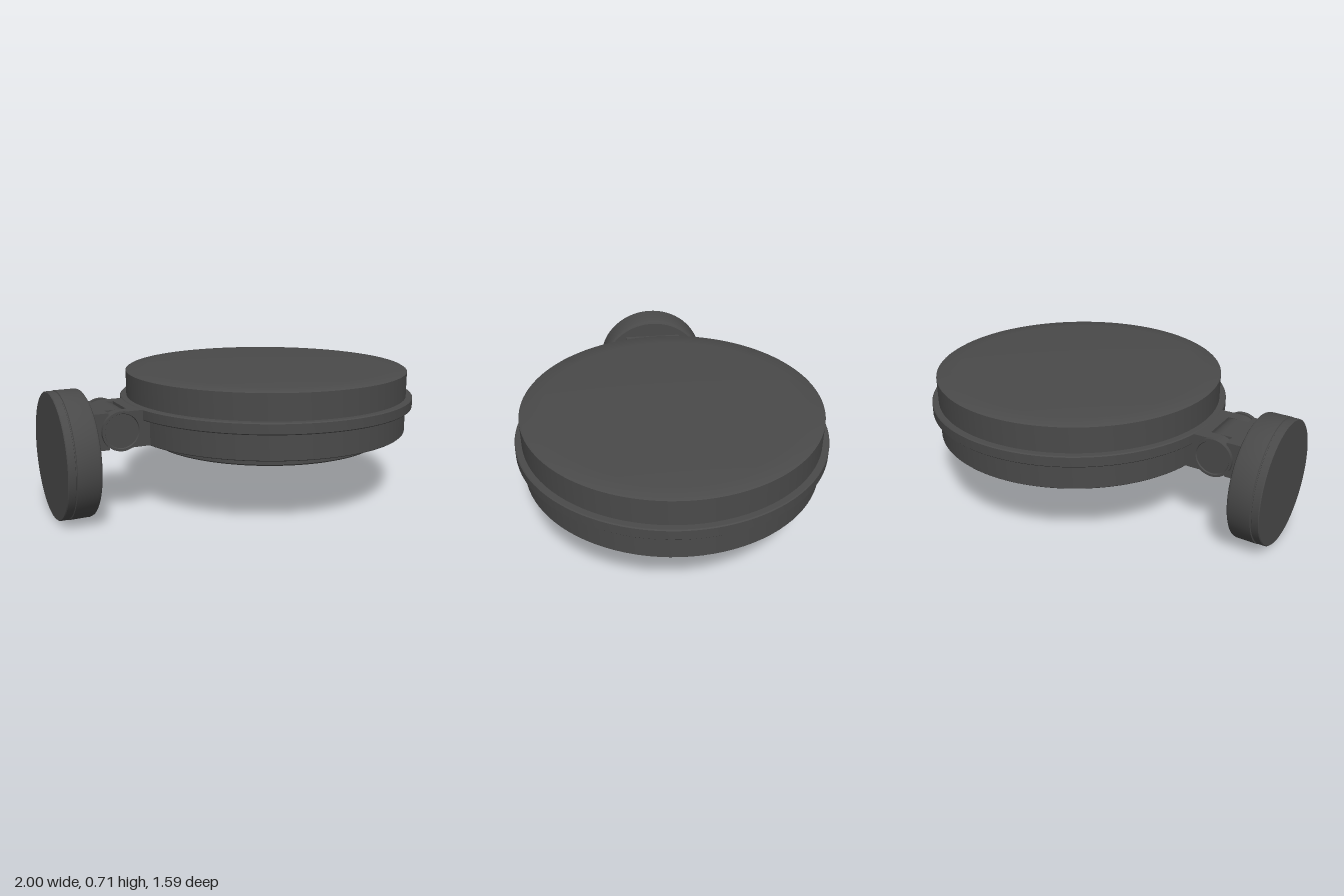
import * as THREE from 'three';
import { toCreasedNormals } from 'three/addons/utils/BufferGeometryUtils.js';

const dark = new THREE.MeshStandardMaterial({ color: 0x4a4a4a });
const silver = new THREE.MeshStandardMaterial({ color: 0xaaaaaa, side: THREE.DoubleSide });
const grey = new THREE.MeshStandardMaterial({ color: 0xcccccc });

const CX = 0.203;                             // axis of the round head
const OPEN_R = 0.59;                          // radius of the light opening
const CORNER = THREE.MathUtils.degToRad(50);  // where round reflector ends meet straight sides

function add(parent, name, geometry, material, x = 0, y = 0, z = 0) {
  const mesh = new THREE.Mesh(geometry, material);
  mesh.name = name;
  mesh.position.set(x, y, z);
  parent.add(mesh);
  return mesh;
}

function lathe(points, segments = 96) {
  const profile = points.map(([r, y]) => new THREE.Vector2(r, y));
  return toCreasedNormals(new THREE.LatheGeometry(profile, segments), 0.5);
}

// Cylinder lying along z
function pin(radius, length) {
  return new THREE.CylinderGeometry(radius, radius, length, 40).rotateX(Math.PI / 2);
}

// Bowl-shaped reflector standing on y = 0: round ends along x, straight sides along z
function reflectorGeometry() {
  const height = 0.32;
  const geometry = new THREE.ConeGeometry(OPEN_R, height, 72, 16, true);
  const p = geometry.attributes.position;
  for (let i = 0; i < p.count; i++) {
    const share = Math.max(0, 0.5 - p.getY(i) / height);
    const limit = OPEN_R * Math.sin(CORNER) * share;
    p.setY(i, height * (1 - share ** 2.4));
    p.setZ(i, THREE.MathUtils.clamp(p.getZ(i), -limit, limit));
  }
  return toCreasedNormals(geometry, 0.4);
}

// Flat lip filling the opening between its round edge and a straight reflector side
function lipGeometry() {
  const start = CORNER - 0.012;
  const shape = new THREE.Shape();
  shape.absarc(0, 0, OPEN_R + 0.003, start, Math.PI - start, false);
  shape.closePath();
  return new THREE.ShapeGeometry(shape, 32).rotateX(Math.PI / 2);
}

export function createModel() {
  const model = new THREE.Group();
  model.name = 'wallFloodlight';

  // Round head: lower bezel, shell, clamping rim and shallow dome
  const head = new THREE.Group();
  head.name = 'lampHead';
  head.position.x = CX;
  model.add(head);
  const dome = [];
  for (let i = 0; i <= 8; i++) {
    const r = 0.752 * (1 - i / 8);
    dome.push([r, 0.712 - 0.022 * (r / 0.752) ** 2]);
  }
  add(head, 'housing', lathe([
    [OPEN_R, 0.34], [OPEN_R, 0.308], [0.597, 0.301], [0.63, 0.301], [0.637, 0.308],
    [0.637, 0.361], [0.758, 0.361], [0.762, 0.365], [0.762, 0.684], ...dome,
  ]), dark);
  add(head, 'clampingRim', lathe([
    [0.755, 0.494], [0.791, 0.494], [0.796, 0.499], [0.796, 0.547], [0.791, 0.552], [0.755, 0.552],
  ]), dark);

  // Reflector and its lips
  add(head, 'reflector', reflectorGeometry(), silver, 0, 0.321, 0);
  for (const turn of [0, Math.PI]) {
    add(head, 'reflectorLip', lipGeometry(), silver, 0, 0.322, 0).rotation.y = turn;
  }

  // Lamp tube with its socket, entering from the hinge side
  const lamp = new THREE.Group();
  lamp.name = 'lamp';
  lamp.position.set(-0.01, 0.478, 0);
  lamp.rotation.z = Math.PI / 2;
  head.add(lamp);
  add(lamp, 'bulb', new THREE.CapsuleGeometry(0.05, 0.2, 8, 24), grey, 0, 0.15, 0);
  add(lamp, 'bulbCollar', lathe([
    [0, 0.25], [0.056, 0.25], [0.056, 0.29], [0.048, 0.295], [0.048, 0.31],
    [0.056, 0.315], [0.056, 0.36], [0, 0.36],
  ], 24), grey);
  add(lamp, 'socket', new THREE.CylinderGeometry(0.062, 0.062, 0.17, 24), silver, 0, 0.445, 0);

  // Round wall plate with a fine groove near its back edge
  const plate = lathe([
    [0, 0], [0.317, 0], [0.321, 0.004], [0.321, 0.036], [0.317, 0.038], [0.317, 0.042],
    [0.323, 0.044], [0.323, 0.148], [0.318, 0.16], [0.308, 0.166], [0, 0.166],
  ], 80).rotateZ(-Math.PI / 2);
  add(model, 'wallPlate', plate, dark, -1, 0.324, 0);

  // Hinge: a tongue from the plate held between two cheeks from the head
  const hinge = new THREE.Group();
  hinge.name = 'hinge';
  hinge.position.set(-0.69, 0.457, 0);
  model.add(hinge);
  add(hinge, 'plateBracket', new THREE.BoxGeometry(0.1, 0.184, 0.33), dark, -0.11, 0, 0);
  add(hinge, 'headBracket', new THREE.BoxGeometry(0.18, 0.184, 0.33), dark, 0.14, 0, 0);
  add(hinge, 'tongue', new THREE.BoxGeometry(0.08, 0.184, 0.2), dark, -0.04, 0, 0);
  add(hinge, 'tongueKnuckle', pin(0.092, 0.2), dark);
  for (const side of [-1, 1]) {
    add(hinge, 'cheek', new THREE.BoxGeometry(0.08, 0.184, 0.064), dark, 0.04, 0, side * 0.133);
    add(hinge, 'cheekKnuckle', pin(0.092, 0.064), dark, 0, 0, side * 0.133);
    const cap = lathe([
      [0, 0], [0.1, 0], [0.1, 0.02], [0.088, 0.02], [0.085, 0.013], [0, 0.013],
    ], 40).rotateX(Math.PI / 2);
    add(hinge, 'pinCap', cap, dark, 0, 0, side * 0.165).rotation.y = side > 0 ? 0 : Math.PI;
  }
  return model;
}
